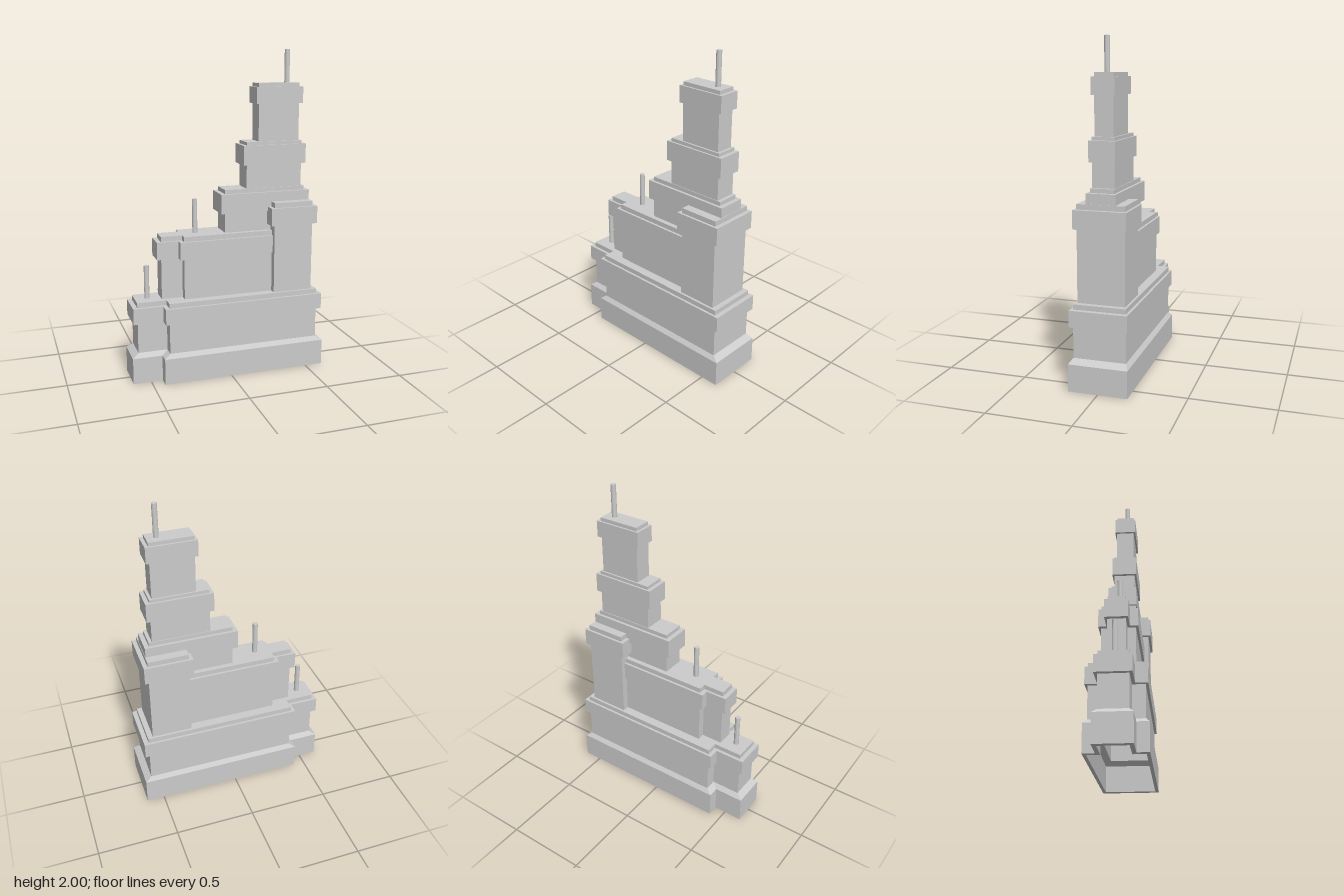
import * as THREE from 'three';

const material = new THREE.MeshStandardMaterial({ color: 0xcccccc, flatShading: true });
const ledgeMaterial = new THREE.MeshStandardMaterial({ color: 0xcccccc, flatShading: true, side: THREE.DoubleSide });

// Rectangle in plan, as [x, z] corners
const rect = (x0, x1, z) => [[x0, -z], [x1, -z], [x1, z], [x0, z]];

// Rectangle with a narrower wing on its -x end
const winged = (x0, step, x1, zWing, z) => [
  [x0, -zWing], [step, -zWing], [step, -z], [x1, -z],
  [x1, z], [step, z], [step, zWing], [x0, zWing],
];

const toVectors = (outline) => outline.map(([x, z]) => new THREE.Vector2(x, -z));

// Upright prism over a plan outline, optionally with a hole (wound the other way)
function prism(name, outline, y0, y1, hole) {
  const shape = new THREE.Shape(toVectors(outline));
  if (hole) shape.holes.push(new THREE.Path(toVectors(hole).reverse()));
  const geometry = new THREE.ExtrudeGeometry(shape, { depth: y1 - y0, bevelEnabled: false });
  geometry.rotateX(-Math.PI / 2).translate(0, y0, 0);
  const mesh = new THREE.Mesh(geometry, material);
  mesh.name = name;
  return mesh;
}

// Sloped open band joining two outlines at different heights
function slope(name, lower, upper, y0, y1) {
  const positions = [];
  lower.forEach((a, i) => {
    const j = (i + 1) % lower.length;
    const p = [a[0], y0, a[1]], q = [lower[j][0], y0, lower[j][1]];
    const r = [upper[j][0], y1, upper[j][1]], s = [upper[i][0], y1, upper[i][1]];
    positions.push(...p, ...r, ...q, ...p, ...s, ...r);
  });
  const geometry = new THREE.BufferGeometry();
  geometry.setAttribute('position', new THREE.Float32BufferAttribute(positions, 3));
  geometry.computeVertexNormals();
  const mesh = new THREE.Mesh(geometry, ledgeMaterial);
  mesh.name = name;
  return mesh;
}

// Wall, overhanging cornice and roof cap; heights are bottom, cornice, cap, top
function tier(name, wall, cornice, [y0, y1, y2, y3]) {
  const group = new THREE.Group();
  group.name = name;
  group.add(
    prism('wall', wall, y0, y1),
    prism('cornice', cornice, y1, y2),
    prism('roofCap', wall, y2, y3),
  );
  return group;
}

function mast(name, x, y0, y1) {
  const mesh = new THREE.Mesh(new THREE.CylinderGeometry(0.016, 0.016, y1 - y0, 12), material);
  mesh.position.set(x, (y0 + y1) / 2, 0);
  mesh.name = name;
  return mesh;
}

export function createModel() {
  const model = new THREE.Group();
  model.name = 'steppedTower';

  // Hollow base: thick plinth wall, sloped ledge outside and inside, podium above
  const plinth = winged(-0.611, -0.428, 0.611, 0.107, 0.177);
  const podium = winged(-0.572, -0.39, 0.571, 0.083, 0.157);
  const podiumInside = winged(-0.537, -0.355, 0.536, 0.048, 0.122);
  const podiumCornice = winged(-0.6, -0.416, 0.6, 0.102, 0.172);
  const base = new THREE.Group();
  base.name = 'base';
  base.add(
    prism('plinth', plinth, 0, 0.163, podium),
    slope('plinthLedge', plinth, podium, 0.163, 0.19),
    slope('innerLedge', podium, podiumInside, 0.163, 0.19),
    prism('podiumWall', podium, 0.19, 0.379, podiumInside),
    prism('podiumCornice', podiumCornice, 0.379, 0.478),
    prism('podiumRoof', podium, 0.478, 0.508),
  );
  model.add(base);

  // Stepped blocks
  model.add(
    tier('longHall', winged(-0.412, -0.28, 0.4, 0.052, 0.1),
      winged(-0.44, -0.307, 0.4, 0.067, 0.115), [0.508, 0.76, 0.869, 0.899]),
    tier('endBlock', rect(0.286, 0.538, 0.142), rect(0.262, 0.564, 0.157), [0.508, 0.938, 1.048, 1.079]),
    tier('lowerTower', rect(-0.012, 0.507, 0.07), rect(-0.04, 0.535, 0.087), [0.899, 1.02, 1.14, 1.165]),
    tier('middleTower', rect(0.128, 0.486, 0.066), rect(0.105, 0.511, 0.078), [1.165, 1.31, 1.43, 1.45]),
    tier('upperTower', rect(0.207, 0.469, 0.056), rect(0.19, 0.49, 0.068), [1.45, 1.678, 1.778, 1.8]),
  );

  // Masts
  model.add(
    mast('wingMast', -0.494, 0.508, 0.715),
    mast('hallMast', -0.185, 0.899, 1.11),
    mast('towerMast', 0.409, 1.8, 2),
  );
  return model;
}
